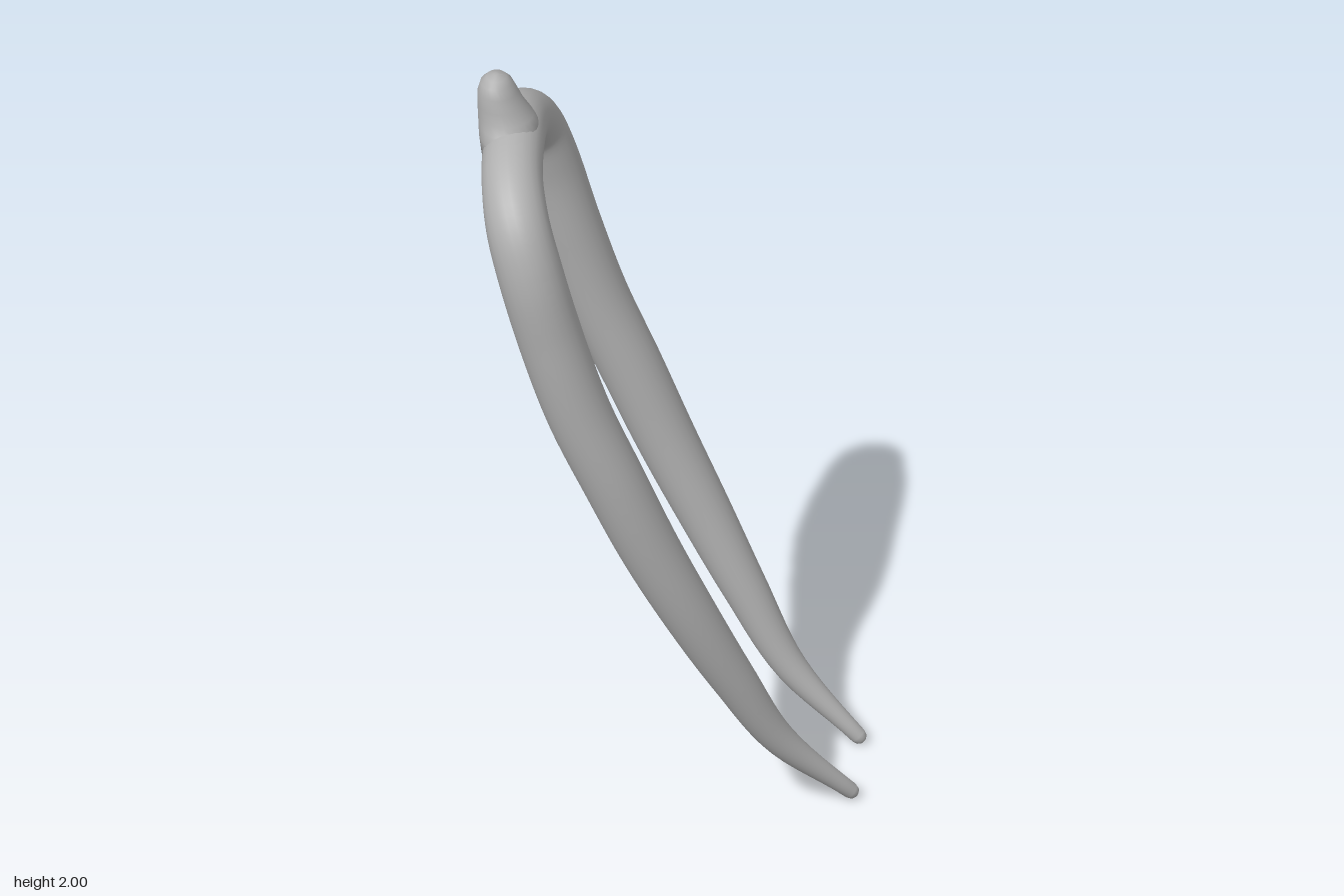
import * as THREE from 'three';

const SIDES = 24;

// Skins a list of equal rings (arrays of Vector3) and closes both ends.
function loft(rings) {
  const pos = [], index = [];
  rings.forEach(r => r.forEach(p => pos.push(p.x, p.y, p.z)));
  for (let i = 0; i < rings.length - 1; i++) {
    for (let j = 0; j < SIDES; j++) {
      const a = i * SIDES + j, b = i * SIDES + (j + 1) % SIDES;
      index.push(a, b, a + SIDES, b, b + SIDES, a + SIDES);
    }
  }
  const last = (rings.length - 1) * SIDES;
  for (let j = 1; j < SIDES - 1; j++) {
    index.push(0, j + 1, j, last, last + j, last + j + 1);
  }
  const g = new THREE.BufferGeometry();
  g.setAttribute('position', new THREE.Float32BufferAttribute(pos, 3));
  g.setIndex(index);
  g.computeVertexNormals();
  return g;
}

// Round sweep along a curve with a radius for each control point and domed tips.
function taperedSweep(points, radii) {
  const curve = new THREE.CatmullRomCurve3(points, false, 'centripetal');
  const radiusCurve = new THREE.SplineCurve(radii.map((r, i) => new THREE.Vector2(i, r)));
  const steps = 140, rings = [];
  const up = new THREE.Vector3(0.9, 0.43, 0).normalize();
  const addRing = (t, scale, shift) => {
    const c = curve.getPoint(t), tan = curve.getTangent(t);
    const r = radiusCurve.getPoint(t).y;
    const u = up.clone().addScaledVector(tan, -up.dot(tan)).normalize();
    const v = new THREE.Vector3().crossVectors(tan, u);
    c.addScaledVector(tan, shift * r);
    rings.push(Array.from({ length: SIDES }, (_, j) => {
      const a = j / SIDES * Math.PI * 2;
      return c.clone().addScaledVector(u, Math.cos(a) * r * scale).addScaledVector(v, Math.sin(a) * r * scale);
    }));
  };
  const dome = [0.08, 0.45, 0.8];
  dome.forEach(s => addRing(0, s, -Math.sqrt(1 - s * s)));
  for (let i = 0; i <= steps; i++) addRing(i / steps, 1, 0);
  dome.reverse().forEach(s => addRing(1, s, Math.sqrt(1 - s * s)));
  return loft(rings);
}

export function createModel() {
  const group = new THREE.Group();
  const grey = new THREE.MeshStandardMaterial({ color: 0xb0b0b0 });
  grey.name = 'plain grey';

  // Rows from tip to shoulder: x, y, z of left prong, z of right prong, radius
  const rows = [
    [0.445, 0.022, 0.066, -0.185, 0.02],
    [0.275, 0.2, 0.125, -0.215, 0.04],
    [0.165, 0.4, 0.172, -0.24, 0.055],
    [0.065, 0.6, 0.212, -0.262, 0.066],
    [-0.03, 0.8, 0.241, -0.275, 0.073],
    [-0.115, 1.0, 0.262, -0.278, 0.077],
    [-0.2, 1.2, 0.273, -0.276, 0.079],
    [-0.265, 1.4, 0.278, -0.268, 0.08],
    [-0.32, 1.6, 0.275, -0.253, 0.08],
    [-0.352, 1.71, 0.238, -0.22, 0.078],
    [-0.372, 1.782, 0.145, -0.128, 0.075],
  ];
  const points = [
    ...rows.map(r => new THREE.Vector3(r[0], r[1], r[2])),
    new THREE.Vector3(-0.376, 1.812, 0.01),
    ...rows.slice().reverse().map(r => new THREE.Vector3(r[0], r[1], r[3])),
  ];
  const radii = rows.map(r => r[4]);
  const prongs = new THREE.Mesh(taperedSweep(points, [...radii, 0.074, ...radii.slice().reverse()]), grey);
  prongs.name = 'prongsAndArch';
  group.add(prongs);

  // Knob rings: y, centre x, centre z, half width x, half width z
  const knobRows = [
    [1.79, -0.392, 0.012, 0.064, 0.12],
    [1.84, -0.39, 0.012, 0.073, 0.108],
    [1.865, -0.391, 0.014, 0.073, 0.086],
    [1.89, -0.397, 0.016, 0.068, 0.07],
    [1.92, -0.408, 0.016, 0.058, 0.062],
    [1.955, -0.417, 0.016, 0.049, 0.056],
    [1.98, -0.42, 0.016, 0.039, 0.046],
    [1.994, -0.42, 0.016, 0.025, 0.03],
    [2.0, -0.42, 0.016, 0.006, 0.008],
  ];
  const knob = new THREE.Mesh(loft(knobRows.map(([y, cx, cz, rx, rz]) =>
    Array.from({ length: SIDES }, (_, j) => {
      const a = j / SIDES * Math.PI * 2;
      return new THREE.Vector3(cx + Math.cos(a) * rx, y, cz - Math.sin(a) * rz);
    }))), grey);
  knob.name = 'topKnob';
  group.add(knob);
  return group;
}
